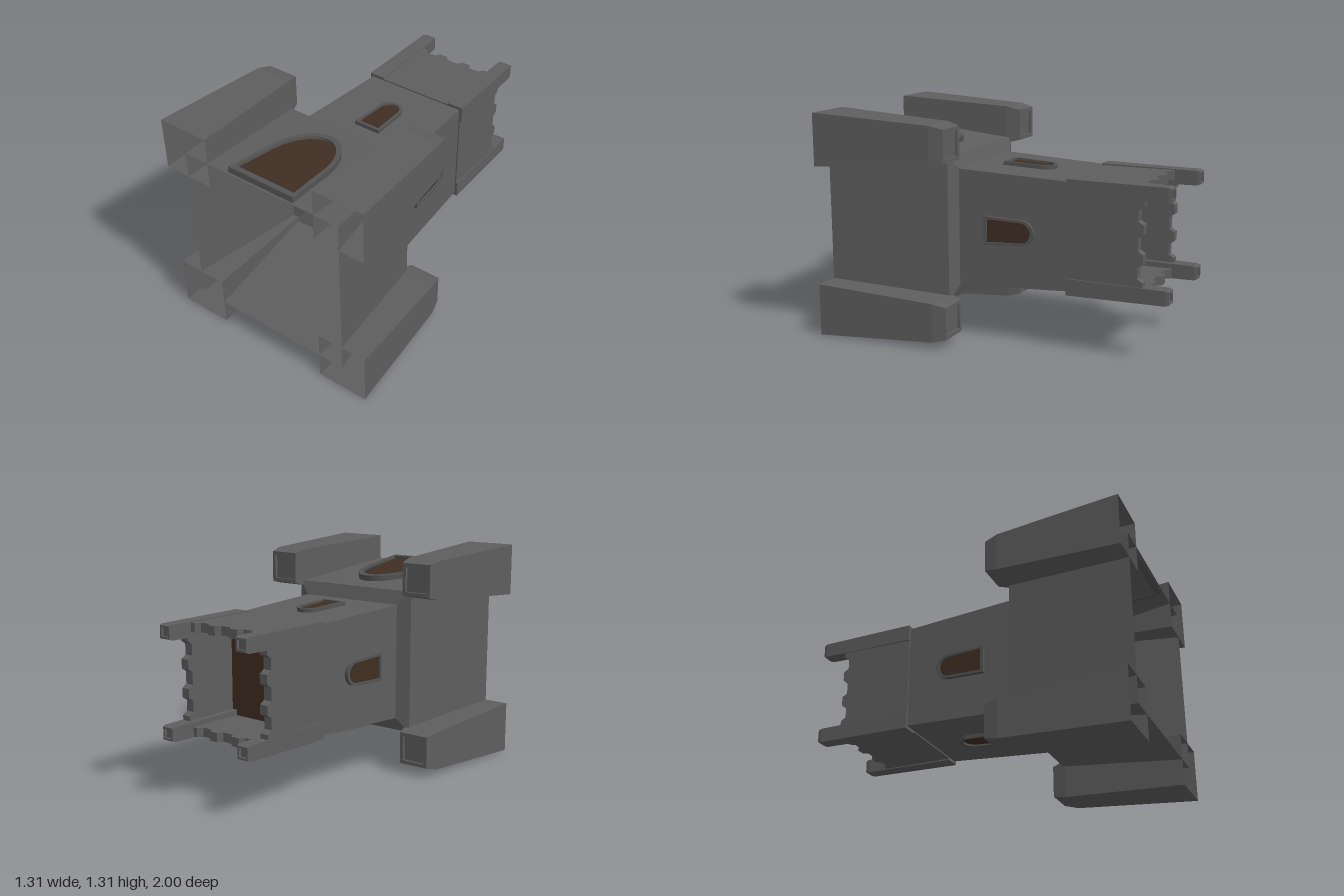
import * as THREE from 'three';

const mat = (name, color) => {
  const m = new THREE.MeshStandardMaterial({ color, side: THREE.DoubleSide, flatShading: true });
  m.name = name;
  return m;
};

export function createModel() {
  const stone = mat('stone', 0x5e5e5e);
  const trim = mat('trim stone', 0x545454);
  const wood = mat('dark wood', 0x402e22);

  const add = (parent, name, geometry, material, x = 0, y = 0, z = 0) => {
    const mesh = new THREE.Mesh(geometry, material);
    mesh.name = name;
    mesh.position.set(x, y, z);
    parent.add(mesh);
    return mesh;
  };

  // Square shell from [half width, height] pairs
  const squareShell = (profile) => {
    const pts = profile.map(([w, h]) => new THREE.Vector2(w * Math.SQRT2, h));
    return new THREE.LatheGeometry(pts, 4).rotateY(Math.PI / 4).toNonIndexed();
  };

  // Tapered arch: straight sides up to the spring line, then half an ellipse
  const arch = (base, bottom, springW, spring, top, Type = THREE.Shape) => {
    const s = new Type();
    s.moveTo(-base, bottom);
    s.lineTo(base, bottom);
    s.lineTo(springW, spring);
    s.absellipse(0, spring, springW, top - spring, 0, Math.PI, false);
    s.closePath();
    return s;
  };

  // Framed opening lying on a sloping wall
  const opening = (parent, name, outer, inner, depth, h, d, tilt) => {
    const g = new THREE.Group();
    g.name = name;
    g.position.set(0, h, d);
    g.rotation.x = -tilt;
    const frame = arch(...outer);
    frame.holes.push(arch(...inner, THREE.Path));
    add(g, name + 'Frame',
      new THREE.ExtrudeGeometry(frame, { depth, bevelEnabled: false, curveSegments: 16 }), trim);
    add(g, name + 'Panel', new THREE.ShapeGeometry(arch(...inner), 16), wood, 0, 0, depth * 0.5);
    parent.add(g);
  };

  // The tower is built upright, then laid down with its top towards -z
  const tower = new THREE.Group();
  tower.name = 'tower';

  // Hollow base, ledge and tapering shaft
  add(tower, 'body', squareShell([[0.502, 0], [0.42, 0.73], [0.34, 0.76], [0.31, 1.41]]), stone);

  // Corner buttresses and parapet posts with recessed caps
  const buttress = squareShell([[0.153, 0], [0.113, 0.72], [0.094, 0.8],
    [0.072, 0.8], [0.072, 0.785], [0, 0.785]]);
  const post = squareShell([[0, 1.41], [0.048, 1.41], [0.042, 1.98], [0.036, 2],
    [0.025, 2], [0.025, 1.985], [0, 1.985]]);
  for (const sx of [-1, 1]) {
    for (const sz of [-1, 1]) {
      add(tower, 'cornerButtress', buttress, stone, sx * 0.5, 0, sz * 0.5);
      add(tower, 'parapetPost', post, stone, sx * 0.28, 0, sz * 0.28);
    }
  }

  // Parapet wall outline with tapered merlons
  const wall = new THREE.Shape();
  wall.moveTo(-0.24, 1.41);
  wall.lineTo(0.24, 1.41);
  const half = [[0.24, 1.85], [0.21, 1.85], [0.19, 1.82], [0.127, 1.82],
    [0.108, 1.85], [0.055, 1.85], [0.036, 1.82]];
  half.forEach(([x, y]) => wall.lineTo(x, y));
  [...half].reverse().forEach(([x, y]) => wall.lineTo(-x, y));
  wall.closePath();
  const wallGeo = new THREE.ExtrudeGeometry(wall, { depth: 0.052, bevelEnabled: false });

  // One parapet wall and one window on each side
  for (let i = 0; i < 4; i++) {
    const side = new THREE.Group();
    side.name = 'side';
    side.rotation.y = i * Math.PI / 2;
    add(side, 'parapetWall', wallGeo, stone, 0, 0, 0.266);
    opening(side, 'window', [0.083, 0, 0.074, 0.22, 0.3],
      [0.067, 0.018, 0.06, 0.215, 0.28], 0.024, 0.918, 0.331, 0.046);
    tower.add(side);
  }

  // Door
  opening(tower, 'door', [0.213, 0, 0.195, 0.26, 0.59],
    [0.19, 0.035, 0.172, 0.26, 0.55], 0.036, 0.012, 0.499, 0.112);

  // Platform behind the parapet
  add(tower, 'platform', new THREE.BoxGeometry(0.53, 0.008, 0.53), wood, 0, 1.51, 0);

  tower.rotation.x = -Math.PI / 2;
  tower.position.set(0, 0.653, 1);

  const model = new THREE.Group();
  model.name = 'castleTower';
  model.add(tower);
  return model;
}
